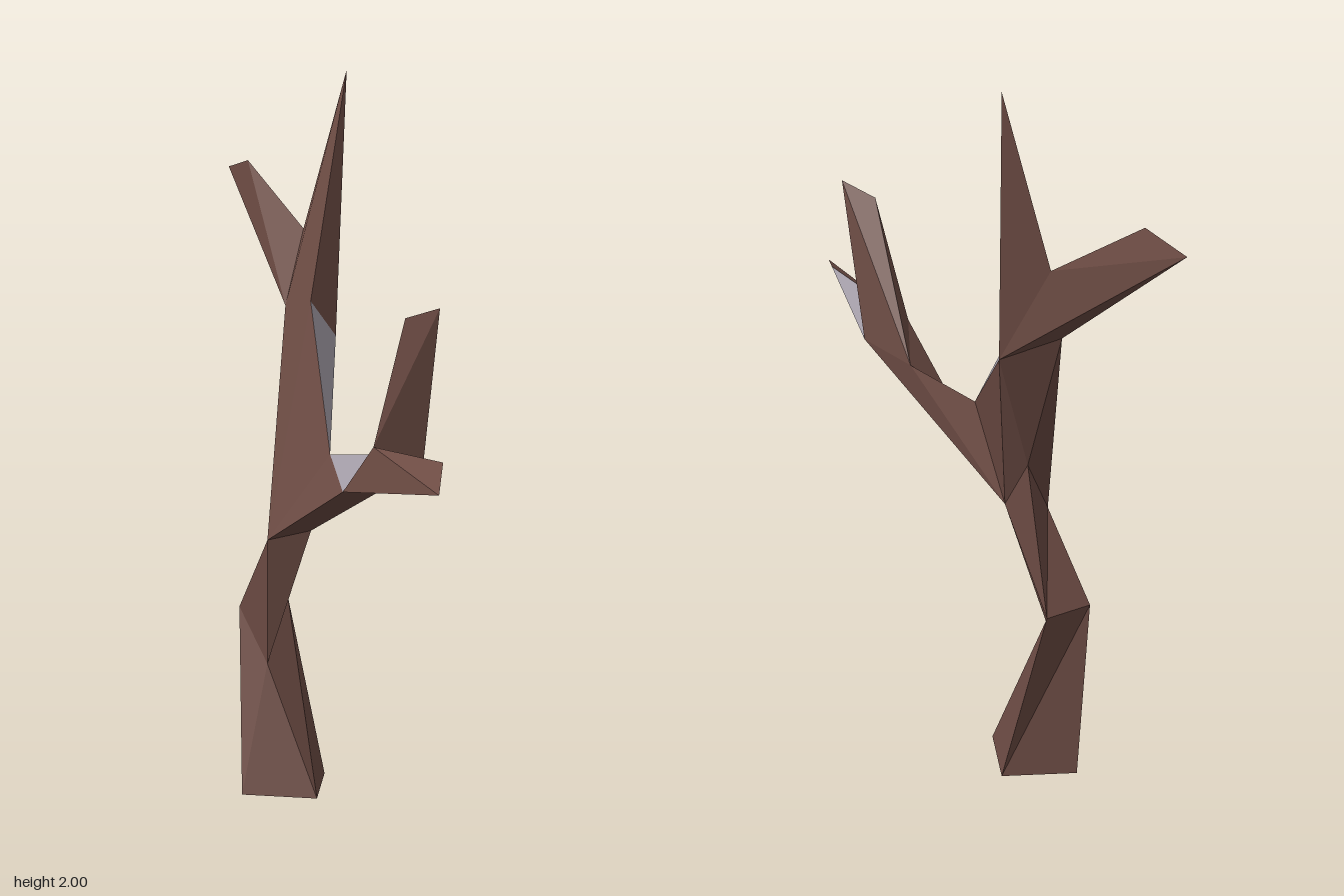
import * as THREE from 'three';

const bark = new THREE.MeshStandardMaterial({ name: 'brown bark', color: 0x6d4c44, side: THREE.DoubleSide });
const bare = new THREE.MeshStandardMaterial({ name: 'grey bare wood', color: 0xa09aa4, side: THREE.DoubleSide });

// Corners of the twisted cross-sections, from the roots up to the tips
const points = {
  // square foot
  a: [-0.2, 0, -0.22], b: [-0.03, 0, -0.09], c: [0.09, 0, -0.27], d: [-0.08, 0, -0.39],
  // trunk bend
  B: [-0.1, 0.36, -0.255], C: [0.03, 0.51, -0.38], D: [-0.125, 0.5, -0.38],
  // fork
  P: [-0.01, 0.755, -0.16], Q: [-0.12, 0.73, -0.21], R: [0.02, 0.92, -0.285], S: [-0.03, 1, -0.01],
  // end of the front limb
  V: [0, 1.04, 0.23], W: [-0.105, 0.945, 0.2], Y: [-0.01, 1.05, 0.45], K: [-0.12, 1.1, 0.39],
  // upright front shoot and long front shoot
  Z: [-0.05, 1.475, 0.595], z: [-0.09, 1.44, 0.495],
  E: [-0.26, 1.1, 0.95], e: [-0.16, 1.14, 0.8],
  // end of the back limb
  F: [0.075, 1.37, -0.32], G: [0.16, 1.265, -0.33], H: [0.07, 1.34, -0.465], N: [0.155, 1.55, -0.515],
  // tall back shoot and blunt back shoot
  T: [0.26, 2, -0.45], M: [0.12, 1.725, -0.8], m: [0.13, 1.695, -0.95],
};
const point = (key) => new THREE.Vector3(...points[key]);

// Builds flat triangles from three-letter corner names, turned away from the given centre
function facets(name, faces, material, centre) {
  const corners = [];
  for (const face of faces) {
    const tri = [...face].map(point);
    const normal = new THREE.Triangle(...tri).getNormal(new THREE.Vector3());
    if (normal.dot(tri[0].clone().sub(centre)) < 0) tri.reverse();
    corners.push(...tri);
  }
  const geometry = new THREE.BufferGeometry().setFromPoints(corners);
  geometry.computeVertexNormals();
  const mesh = new THREE.Mesh(geometry, material);
  mesh.name = name;
  return mesh;
}

// One section of the tree: bark faces plus any face of bare wood
function section(name, barkFaces, bareFaces = '') {
  const group = new THREE.Group();
  group.name = name;
  const browns = barkFaces.split(' ');
  const greys = bareFaces ? bareFaces.split(' ') : [];
  const keys = [...new Set([...browns, ...greys].join(''))];
  const centre = new THREE.Vector3();
  keys.forEach((key) => centre.addScaledVector(point(key), 1 / keys.length));
  group.add(facets(name + 'Bark', browns, bark, centre));
  if (greys.length) group.add(facets(name + 'BareWood', greys, bare, centre));
  return group;
}

export function createModel() {
  const tree = new THREE.Group();
  tree.name = 'deadTree';
  tree.add(
    section('trunkFoot', 'abc acd abB aBD aDd bcC bCB cdD cDC'),
    section('trunkTop', 'CDQ CQR DBQ BPQ BCP CRP'),
    section('frontLimb', 'PYW PWQ QWS PYV PVS VKW', 'SWV'),
    section('uprightFrontShoot', 'VYZ VZz VzK KzZ KZY'),
    section('longFrontShoot', 'YeE YWE WKE KEe', 'KYe'),
    section('backLimb', 'PRG RGH RQH QFH QSF SPG', 'SFG'),
    section('tallBackShoot', 'FGT GNT FHT HNT'),
    section('bluntBackShoot', 'HNM HMm NMm GNm GHm'),
  );
  return tree;
}
